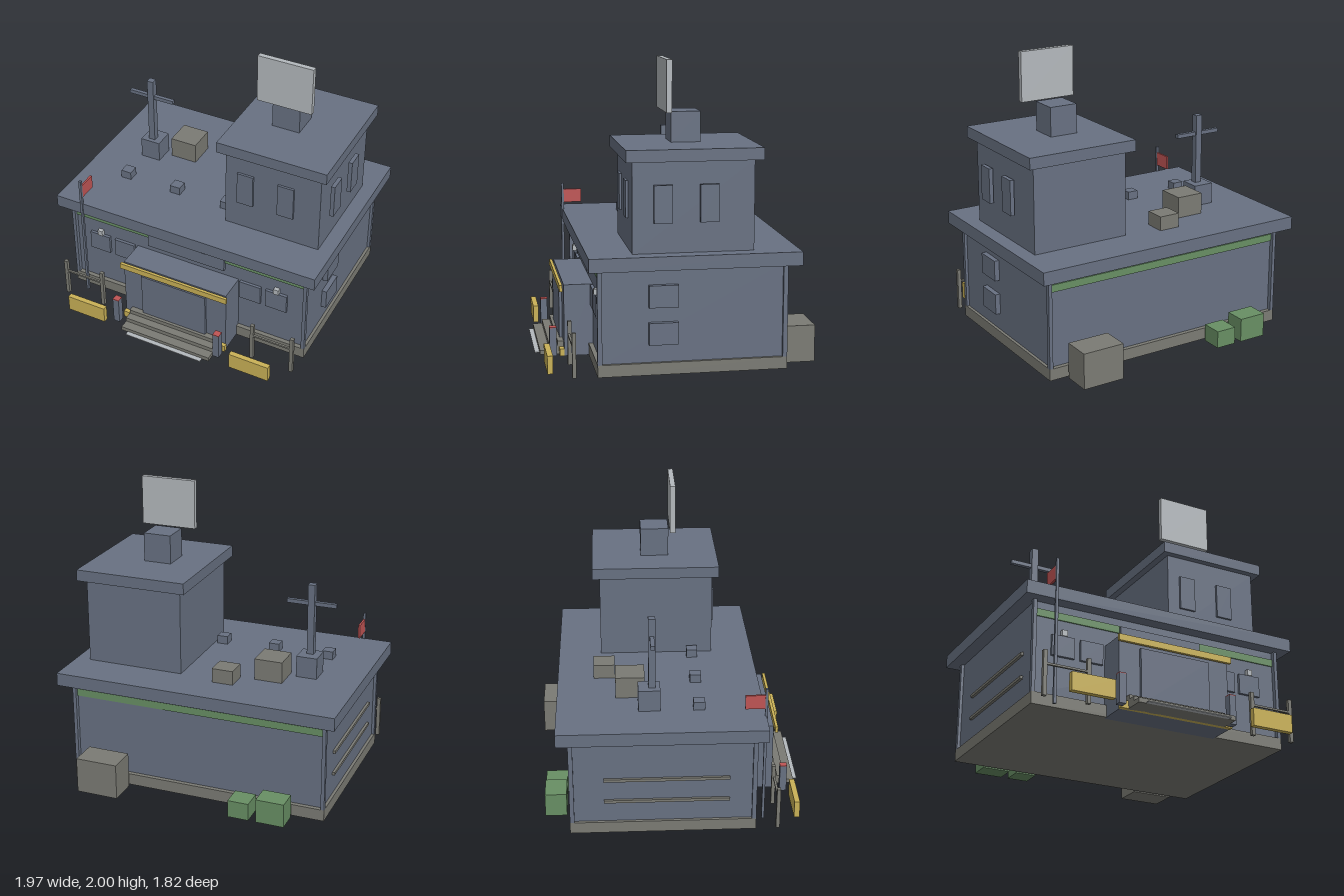
import * as THREE from 'three';

const mat = (name, color) => {
  const m = new THREE.MeshStandardMaterial({ color });
  m.name = name;
  return m;
};

export function createModel() {
  const slate = mat('slate', 0x687182);
  const stone = mat('stone grey', 0x7b7b74);
  const yellow = mat('yellow', 0xcab257);
  const green = mat('green', 0x688f64);
  const red = mat('red', 0xc05555);
  const pale = mat('pale grey', 0xb4b9bd);

  const model = new THREE.Group();
  model.name = 'station';

  // Box given by its limits on each axis
  const box = (name, m, [x0, x1], [y0, y1], [z0, z1], parent = model) => {
    const mesh = new THREE.Mesh(new THREE.BoxGeometry(x1 - x0, y1 - y0, z1 - z0), m);
    mesh.position.set((x0 + x1) / 2, (y0 + y1) / 2, (z0 + z1) / 2);
    mesh.name = name;
    parent.add(mesh);
    return mesh;
  };
  const group = (name) => {
    const g = new THREE.Group();
    g.name = name;
    model.add(g);
    return g;
  };

  // Main building
  const hall = group('hall');
  box('plinth', stone, [-0.91, 0.91], [0, 0.08], [-0.69, 0.55], hall);
  box('walls', slate, [-0.89, 0.89], [0.08, 0.7], [-0.66, 0.52], hall);
  box('roofSlab', slate, [-0.985, 0.985], [0.7, 0.79], [-0.765, 0.61], hall);
  for (const x of [-0.91, 0.885])
    for (const z of [-0.69, 0.52])
      box('cornerPost', slate, [x, x + 0.025], [0.08, 0.7], [z, z + 0.03], hall);
  box('frontBand', green, [-0.885, 0.885], [0.6, 0.65], [0.52, 0.528], hall);
  box('backBand', green, [-0.885, 0.885], [0.6, 0.65], [-0.668, -0.66], hall);
  box('signBoard', slate, [-0.295, 0.295], [0.545, 0.64], [0.52, 0.548], hall);

  // Front windows and lamps
  for (const x of [-0.773, -0.573, 0.41, 0.605])
    box('frontWindow', slate, [x, x + 0.157], [0.35, 0.49], [0.52, 0.54], hall);
  for (const x of [-0.707, 0.667])
    box('wallLamp', pale, [x, x + 0.037], [0.49, 0.53], [0.52, 0.548], hall);

  // Side windows and side rails
  for (const y of [0.2, 0.445])
    box('sideWindow', slate, [0.89, 0.925], [y, y + 0.145], [0.03, 0.22], hall);
  for (const y of [0.225, 0.385])
    box('sideRail', stone, [-0.908, -0.89], [y, y + 0.02], [-0.46, 0.37], hall);

  // Entrance porch
  const porch = group('porch');
  box('porchBlock', slate, [-0.395, 0.395], [0, 0.49], [0.52, 0.715], porch);
  box('door', slate, [-0.25, 0.245], [0.05, 0.425], [0.715, 0.735], porch);
  box('porchStripe', yellow, [-0.41, 0.41], [0.447, 0.49], [0.725, 0.745], porch);
  box('baseStripe', yellow, [-0.4, 0.4], [0, 0.05], [0.715, 0.745], porch);

  // Steps
  [[0.755, 0.09], [0.81, 0.06], [0.875, 0.03]].forEach(([z, y], i) =>
    box('step' + (i + 1), stone, [-0.345, 0.343], [0, y], [0.715, z], porch));
  box('doorMat', pale, [-0.295, 0.293], [0, 0.006], [0.875, 0.907], porch);

  // Bollards with red caps
  for (const x of [-0.445, 0.343]) {
    box('bollard', slate, [x, x + 0.047], [0, 0.194], [0.765, 0.813], porch);
    box('bollardCap', red, [x, x + 0.047], [0.194, 0.2], [0.765, 0.813], porch);
  }

  // Railings and yellow barriers
  for (const [x, bx] of [[-0.905, -0.787], [0.575, 0.49]]) {
    const rail = group('railing');
    for (const px of [x, x + 0.295])
      box('railPost', stone, [px, px + 0.026], [0, 0.295], [0.685, 0.71], rail);
    box('railBar', stone, [x, x + 0.32], [0.2, 0.213], [0.695, 0.71], rail);
    box('barrier', yellow, [bx, bx + 0.293], [0, 0.12], [0.823, 0.86], rail);
  }

  // Flag
  box('flagPole', slate, [-0.79, -0.772], [0, 0.985], [0.6, 0.618]);
  box('flag', red, [-0.788, -0.774], [0.842, 0.94], [0.47, 0.6]);

  // Upper tower
  const tower = group('tower');
  box('towerWalls', slate, [0.195, 0.883], [0.79, 1.38], [-0.467, 0.322], tower);
  box('towerCap', slate, [0.147, 0.933], [1.38, 1.458], [-0.517, 0.367], tower);
  for (const x of [0.285, 0.58])
    box('towerFrontWindow', slate, [x, x + 0.117], [0.99, 1.232], [0.322, 0.338], tower);
  for (const z of [-0.229, 0.068])
    box('towerSideWindow', slate, [0.897, 0.925], [0.99, 1.232], [z, z + 0.12], tower);
  box('panelStand', slate, [0.39, 0.587], [1.458, 1.658], [-0.172, 0.024], tower);
  box('panel', pale, [0.295, 0.687], [1.66, 2], [0.033, 0.069], tower);

  // Mast on the roof
  const mast = group('mast');
  box('mastBase', slate, [-0.69, -0.545], [0.79, 0.938], [-0.224, -0.078], mast);
  box('mastPole', slate, [-0.642, -0.595], [0.938, 1.43], [-0.155, -0.108], mast);
  box('mastCrossbar', slate, [-0.79, -0.445], [1.283, 1.31], [-0.145, -0.117], mast);

  // Roof units and vents
  box('largeRoofUnit', stone, [-0.495, -0.3], [0.79, 0.938], [-0.371, -0.175]);
  box('smallRoofUnit', stone, [-0.2, -0.052], [0.79, 0.888], [-0.518, -0.373]);
  for (const x of [-0.69, -0.295, 0.096])
    box('roofVent', slate, [x, x + 0.076], [0.79, 0.848], [0.14, 0.216]);

  // Bins and unit behind the building
  box('rearUnit', stone, [0.49, 0.785], [0, 0.248], [-0.91, -0.714]);
  box('largeBin', green, [-0.69, -0.495], [0, 0.165], [-0.862, -0.715]);
  box('smallBin', green, [-0.444, -0.298], [0, 0.12], [-0.862, -0.715]);

  return model;
}
